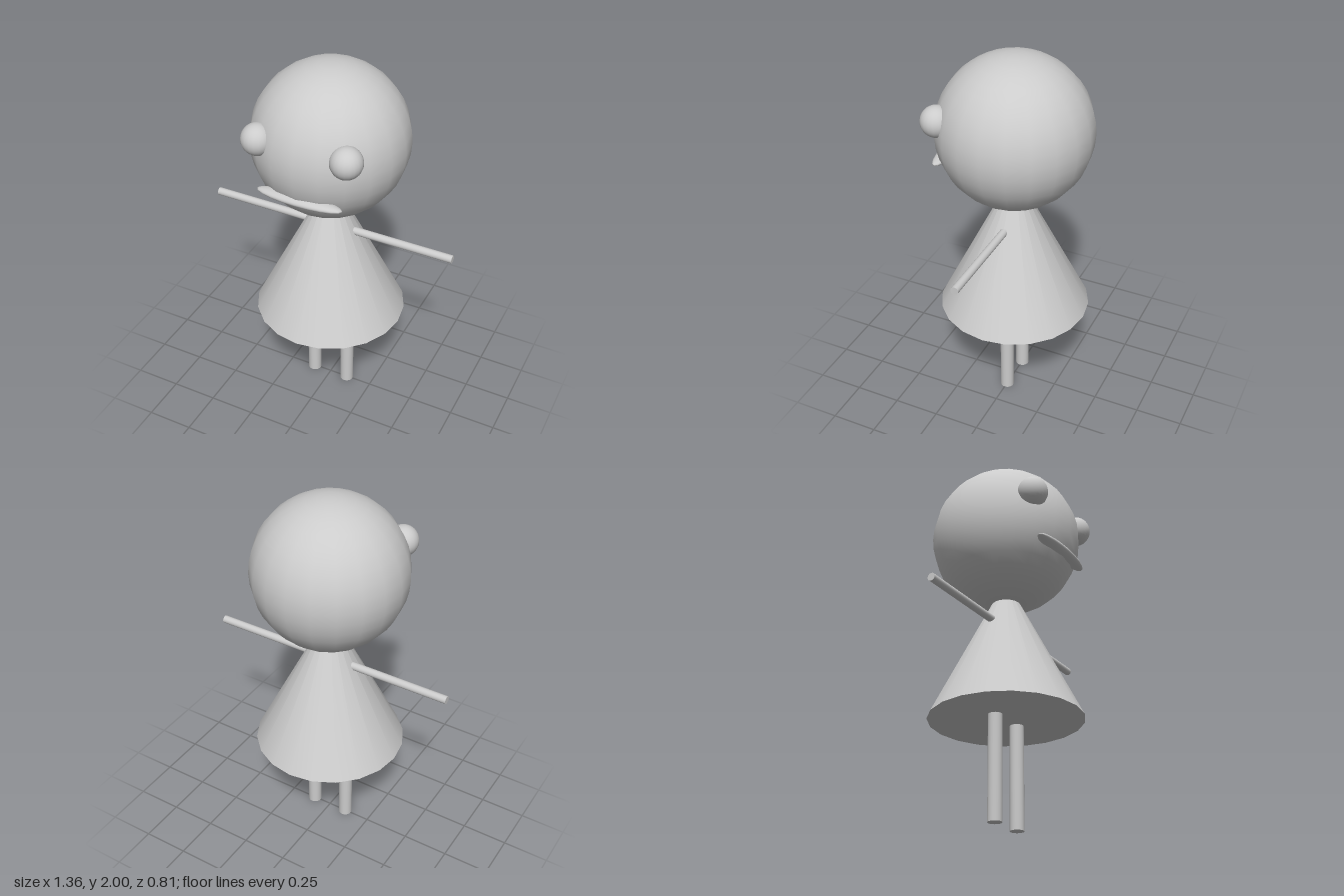
import * as THREE from 'three';

export function createModel() {
  const group = new THREE.Group();
  const material = new THREE.MeshStandardMaterial({ color: 0xcccccc });

  function add(name, geometry, x, y, z) {
    const mesh = new THREE.Mesh(geometry, material);
    mesh.name = name;
    mesh.position.set(x, y, z);
    group.add(mesh);
    return mesh;
  }

  // Head, and a cone dress whose tip is hidden inside the head
  add('head', new THREE.SphereGeometry(0.403, 20, 20), 0, 1.597, 0);
  add('dress', new THREE.ConeGeometry(0.405, 0.81, 20), 0, 0.955, 0);

  // Mouth: a flattened ellipsoid partly sunk into the face
  add('mouth', new THREE.SphereGeometry(1, 20, 20), 0, 1.43, 0.34).scale.set(0.23, 0.027, 0.05);

  // Both arms are one straight rod through the dress
  add('arms', new THREE.CylinderGeometry(0.021, 0.021, 1.36, 20), 0, 1.067, 0).rotation.z = Math.PI / 2;

  // Mirrored eyes and legs
  for (const [side, s] of [['left', 1], ['right', -1]]) {
    add(side + 'Eye', new THREE.SphereGeometry(0.081, 20, 20), s * 0.235, 1.688, 0.31);
    add(side + 'Leg', new THREE.CylinderGeometry(0.037, 0.037, 0.6, 20), s * 0.103, 0.3, 0);
  }
  return group;
}
